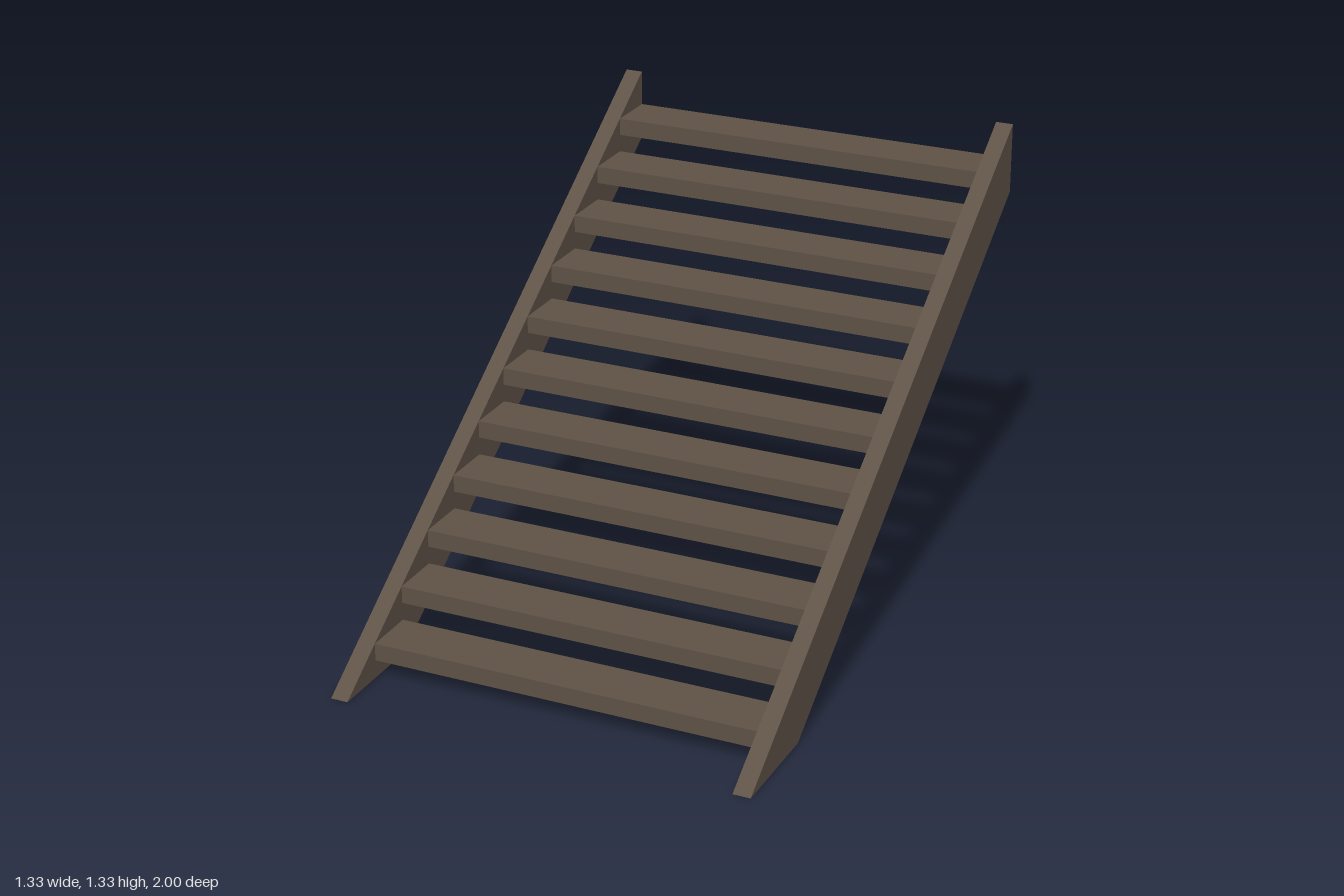
import * as THREE from 'three';

export function createModel() {
  const model = new THREE.Group();
  model.name = 'openStaircase';
  const darkWood = new THREE.MeshStandardMaterial({ color: 0x5f5246 });
  darkWood.name = 'darkWood';

  const rise = 1 / 9, run = 1 / 6, treadCount = 11;
  const thickness = 0.055, halfWidth = 2 / 3;

  // Side stringers: sloped boards cut level at the floor and plumb at the top
  const profile = new THREE.Shape([
    new THREE.Vector2(1, 0),
    new THREE.Vector2(-1, 12 * rise),
    new THREE.Vector2(-1, 10 * rise),
    new THREE.Vector2(2 / 3, 0),
  ]);
  const stringerGeometry = new THREE.ExtrudeGeometry(profile, { depth: thickness, bevelEnabled: false });
  stringerGeometry.rotateY(-Math.PI / 2); // profile x becomes z, depth runs to -x
  for (const [name, outerX] of [['leftStringer', halfWidth], ['rightStringer', -halfWidth + thickness]]) {
    const stringer = new THREE.Mesh(stringerGeometry, darkWood);
    stringer.name = name;
    stringer.position.x = outerX;
    model.add(stringer);
  }

  // Open treads between the stringers
  const treadGeometry = new THREE.BoxGeometry(2 * (halfWidth - thickness), thickness, run);
  for (let i = 1; i <= treadCount; i++) {
    const tread = new THREE.Mesh(treadGeometry, darkWood);
    tread.name = `tread${i}`;
    tread.position.set(0, i * rise - thickness / 2, 1 - (i + 0.5) * run);
    model.add(tread);
  }
  return model;
}
